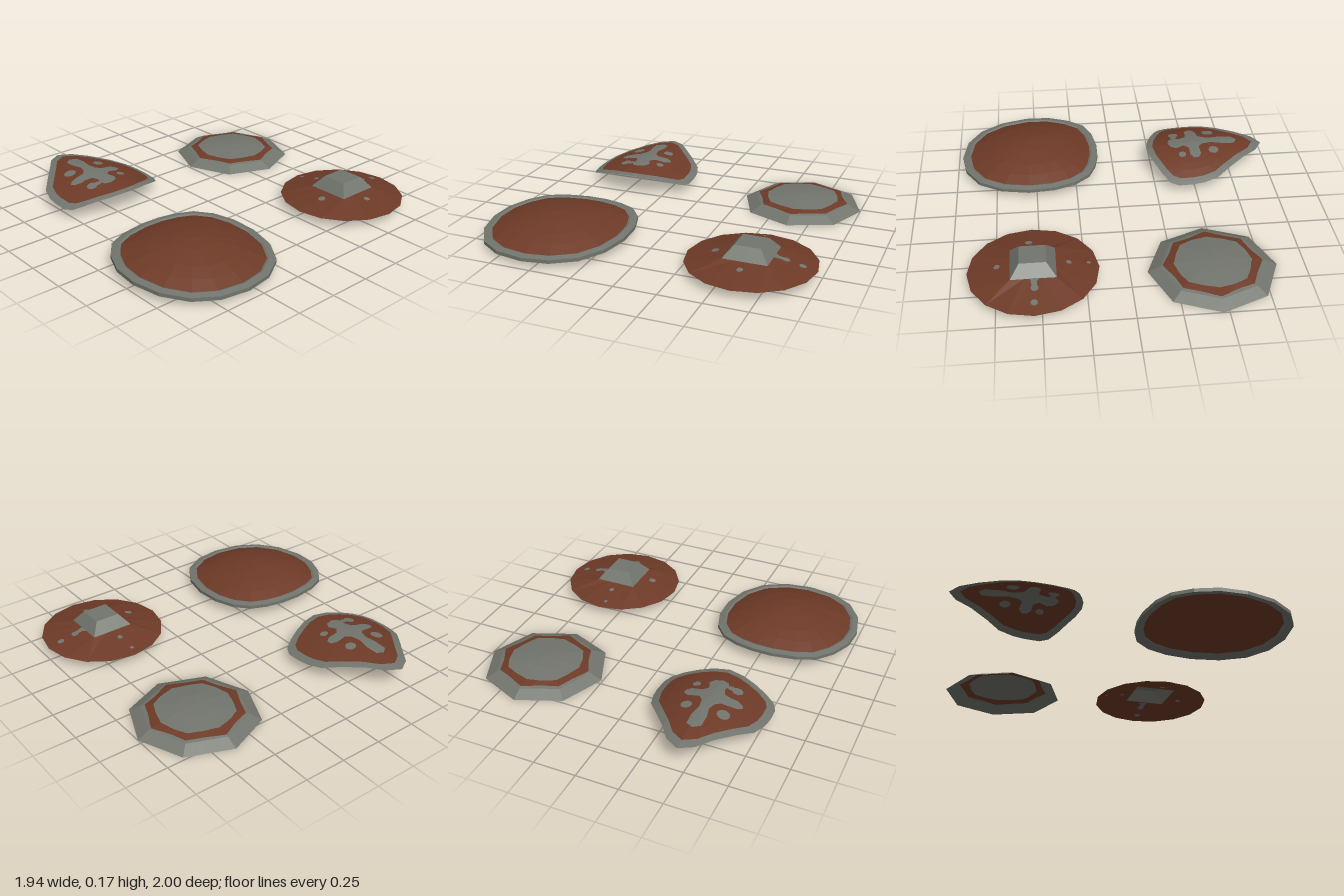
import * as THREE from 'three';

const mat = (name, color) => {
  const m = new THREE.MeshStandardMaterial({ color, side: THREE.DoubleSide, flatShading: true });
  m.name = name;
  return m;
};

// Skin a list of rings (arrays of [x, y, z]) running from the outside inwards
function skin(rings) {
  const n = rings[0].length, index = [];
  for (let r = 0; r < rings.length - 1; r++) {
    for (let i = 0; i < n; i++) {
      const j = (i + 1) % n, a = r * n, b = a + n;
      index.push(a + i, b + i, a + j, a + j, b + i, b + j);
    }
  }
  const g = new THREE.BufferGeometry();
  g.setAttribute('position', new THREE.Float32BufferAttribute(rings.flat(2), 3));
  g.setIndex(index);
  g.computeVertexNormals();
  return g;
}

// Scale a flat outline of [x, z] about a centre and lift it with a height rule
const ring = (outline, [cx, cz], s, height) => outline.map(([x, z]) => {
  const px = cx + (x - cx) * s, pz = cz + (z - cz) * s;
  return [px, height(px, pz), pz];
});

const circle = (cx, cz, r, n = 10) => Array.from({ length: n }, (_, i) => {
  const a = i / n * Math.PI * 2;
  return [cx + r * Math.cos(a), cz + r * Math.sin(a)];
});

export function createModel() {
  const root = new THREE.Group();
  root.name = 'shields';
  const grey = mat('weatheredMetal', 0x72756d);
  const brown = mat('brownHide', 0x6e3a27);

  const group = (name) => {
    const g = new THREE.Group();
    g.name = name;
    root.add(g);
    return g;
  };
  const add = (parent, name, rings, material) => {
    const m = new THREE.Mesh(skin(rings), material);
    m.name = name;
    parent.add(m);
  };
  // Painted patch that follows a surface on both of its sides
  const paint = (parent, name, outline, centre, height) => {
    for (const off of [0.004, -0.004]) {
      add(parent, name, [1, 0.8, 0.6, 0.4, 0.2, 0].map((s) =>
        ring(outline, centre, s, (x, z) => height(x, z) + off)), grey);
    }
  };

  // Octagonal shield: grey rim, wavy brown band, grey centre
  const oct = group('octagonalShield');
  const octRing = (s, y, wave = 0) => Array.from({ length: 40 }, (_, i) => {
    const a = i / 40 * Math.PI * 2;
    const edge = Math.cos(Math.PI / 8) / Math.cos((a % (Math.PI / 4)) - Math.PI / 8);
    const r = 0.37 * (s * edge + wave * Math.sin(4 * a + 1) + wave * Math.cos(8 * a));
    return [-0.47 + r * Math.cos(a), y, -0.63 + r * Math.sin(a)];
  });
  const bandOut = octRing(0.755, 0.04, 0.008), bandIn = octRing(0.625, 0.05, -0.01);
  add(oct, 'rim', [octRing(1, 0), octRing(0.81, 0.035), bandOut], grey);
  add(oct, 'band', [bandOut, bandIn], brown);
  add(oct, 'centre', [bandIn, octRing(0.3, 0.064), octRing(0, 0.07)], grey);

  // Round shield: shallow brown cone with a hollow square boss
  const round = group('roundShield');
  const rc = [0.54, -0.613];
  const square = (half, y) => Array.from({ length: 16 }, (_, i) => {
    const c = Math.cos(i * Math.PI / 8), s = Math.sin(i * Math.PI / 8);
    const r = half / Math.max(Math.abs(c), Math.abs(s));
    return [rc[0] + r * c, y, rc[1] + r * s];
  });
  const coneHeight = (x, z) =>
    0.05 + (0.37 - Math.hypot(x - rc[0], z - rc[1])) / 0.24 * 0.05;
  add(round, 'face', [ring(circle(...rc, 0.37, 16), rc, 1, () => 0.05), square(0.128, 0.1)], brown);
  add(round, 'boss', [square(0.128, 0.1), square(0.075, 0.167), square(0, 0.167)], grey);
  for (const [x, z, r] of [[0.54, -0.9, 0.02], [0.74, -0.612, 0.018], [0.34, -0.606, 0.016],
    [0.228, -0.593, 0.012], [0.56, -0.412, 0.022], [0.535, -0.805, 0.022]]) {
    paint(round, 'spot', circle(x, z, r), [x, z], coneHeight);
  }
  paint(round, 'streak', [[0.555, -0.76], [0.56, -0.742], [0.505, -0.742], [0.522, -0.765],
    [0.522, -0.8], [0.55, -0.8]], [0.537, -0.765], coneHeight);

  // Pointed shield: bent hide, rounded at one end and pointed at the other
  const pointed = group('pointedShield');
  const pc = [-0.52, 0.45];
  const bent = (x, z) => {
    const d = Math.abs(z - 0.45);
    return 0.156 - 0.22 * (x + 0.6) ** 2 - 0.05 * d - 0.65 * d * d;
  };
  const half = [[-0.235, 0.54], [-0.265, 0.62], [-0.3, 0.7], [-0.34, 0.762], [-0.39, 0.787],
    [-0.48, 0.79], [-0.55, 0.783], [-0.64, 0.755], [-0.72, 0.69], [-0.83, 0.6], [-0.925, 0.53]];
  const outline = [[-0.22, 0.45], ...half, [-0.972, 0.45],
    ...half.slice().reverse().map(([x, z]) => [x, 0.9 - z])];
  add(pointed, 'rim', [1, 0.94, 0.865].map((s) => ring(outline, pc, s, bent)), grey);
  add(pointed, 'face', [0.865, 0.7, 0.55, 0.4, 0.25, 0.12, 0].map((s) => ring(outline, pc, s, bent)), brown);

  // Painted cross and dots
  const cross = [[-0.36, 0.465], [-0.37, 0.5], [-0.4, 0.515], [-0.44, 0.505], [-0.48, 0.52],
    [-0.49, 0.56], [-0.488, 0.6], [-0.505, 0.635], [-0.525, 0.645], [-0.55, 0.625], [-0.56, 0.58],
    [-0.565, 0.53], [-0.59, 0.505], [-0.64, 0.49], [-0.7, 0.505], [-0.78, 0.505], [-0.81, 0.465],
    [-0.79, 0.425], [-0.72, 0.42], [-0.64, 0.435], [-0.58, 0.425], [-0.555, 0.4], [-0.56, 0.33],
    [-0.54, 0.3], [-0.51, 0.3], [-0.49, 0.33], [-0.49, 0.39], [-0.46, 0.42], [-0.41, 0.4], [-0.375, 0.42]];
  paint(pointed, 'cross', cross, [-0.525, 0.465], bent);
  for (const [x, z, r] of [[-0.645, 0.36, 0.032], [-0.44, 0.337, 0.024],
    [-0.64, 0.575, 0.037], [-0.41, 0.57, 0.032]]) {
    paint(pointed, 'dot', circle(x, z, r, 12), [x, z], bent);
  }
  paint(pointed, 'drip', circle(-0.405, 0.53, 0.02), [-0.405, 0.53], bent);

  // Large shield: raised grey rim around a brown dome, slightly tilted
  const large = group('largeShield');
  const lc = [0.53, 0.567];
  const hoop = [[0.97, 0.57], [0.942, 0.74], [0.86, 0.87], [0.72, 0.96], [0.55, 0.997], [0.4, 0.985],
    [0.27, 0.93], [0.17, 0.85], [0.12, 0.74], [0.095, 0.59], [0.098, 0.47], [0.12, 0.36], [0.165, 0.26],
    [0.26, 0.185], [0.39, 0.145], [0.55, 0.14], [0.72, 0.18], [0.86, 0.27], [0.945, 0.41]];
  const level = (s, y) => ring(hoop, lc, s, (x) => y - 0.033 * (x - lc[0]));
  add(large, 'rim', [level(0.905, 0.052), level(1, 0.045), level(1, 0.066),
    level(0.915, 0.074), level(0.885, 0.068)], grey);
  add(large, 'face', [level(0.885, 0.068), level(0.72, 0.096), level(0.54, 0.121),
    level(0.25, 0.149), level(0, 0.159)], brown);

  return root;
}
